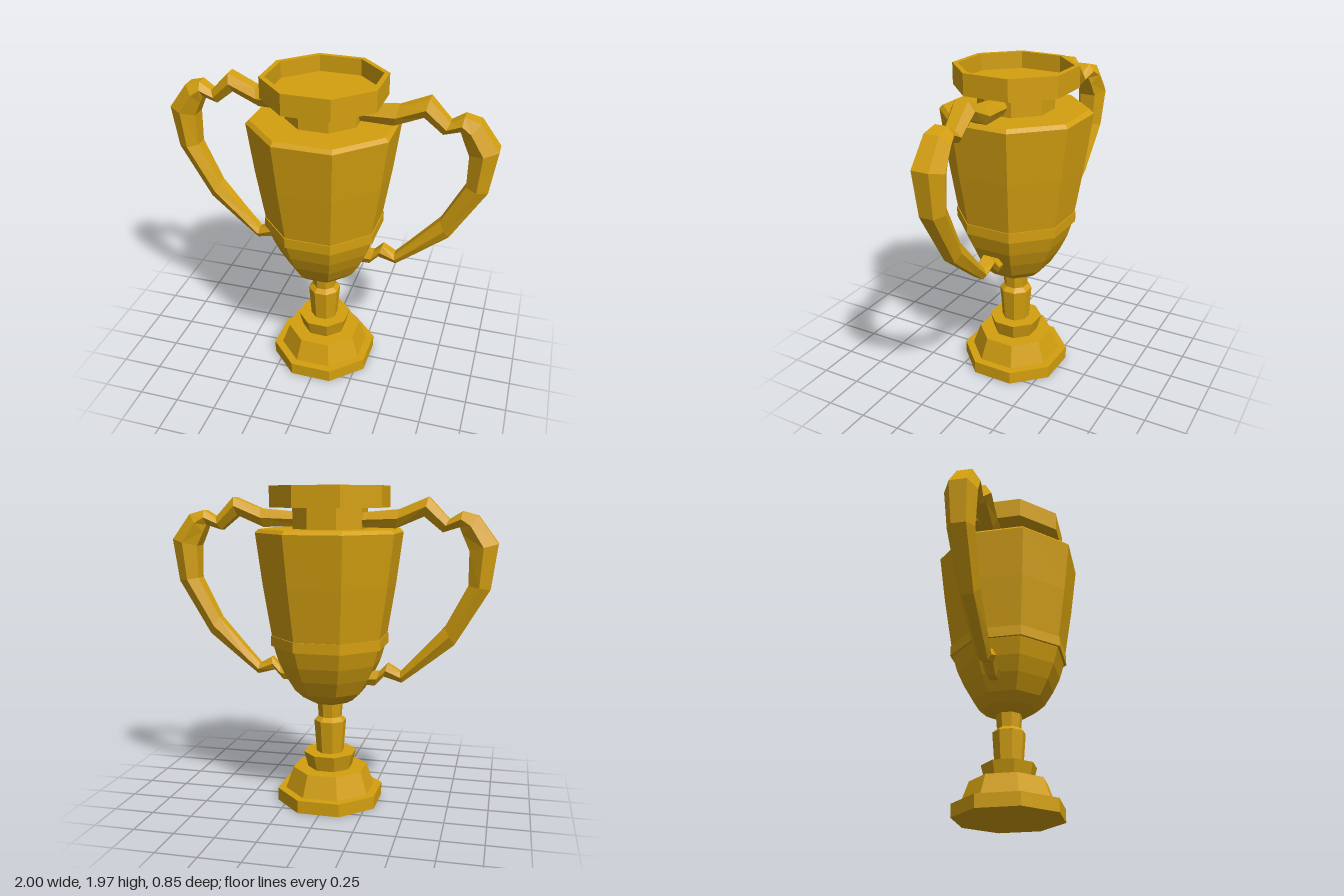
import * as THREE from 'three';

const gold = new THREE.MeshStandardMaterial({ color: 0xd4a010, flatShading: true });
const TURN = Math.PI / 8 - 0.0175; // flats face the axes, with a slight twist

// Octagonal turned part; profile is [half-width across flats, y], bottom to top
function turned(name, profile) {
  const pts = profile.map(([a, y]) => new THREE.Vector2(a / Math.cos(Math.PI / 8), y));
  const mesh = new THREE.Mesh(new THREE.LatheGeometry(pts, 8, TURN), gold);
  mesh.name = name;
  return mesh;
}

// Handle cross-sections: outer x, outer y, inner x, inner y, half-width in z
const RINGS = [
  [0.15, 1.805, 0.15, 1.725, 0.05],
  [0.43, 1.83, 0.41, 1.72, 0.062],
  [0.6, 1.9, 0.575, 1.79, 0.072],
  [0.72, 1.775, 0.685, 1.7, 0.058],
  [0.795, 1.82, 0.78, 1.73, 0.07],
  [0.885, 1.795, 0.8, 1.685, 0.085],
  [1.0, 1.64, 0.84, 1.6, 0.097],
  [0.965, 1.38, 0.84, 1.4, 0.08],
  [0.77, 1.05, 0.71, 1.15, 0.062],
  [0.555, 0.875, 0.525, 0.945, 0.05],
  [0.46, 0.8, 0.45, 0.865, 0.045],
  [0.35, 0.83, 0.372, 0.91, 0.045],
  [0.295, 0.77, 0.32, 0.855, 0.045],
  [0.2, 0.77, 0.2, 0.85, 0.045],
];

// Hexagonal scrolled handle; zAt gives the sideways drift along x
function handle(name, side, zAt) {
  const pos = [], idx = [];
  for (const [ox, oy, ix, iy, w] of RINGS) {
    const cx = (ox + ix) / 2, cy = (oy + iy) / 2, z = zAt(cx), h = w * 0.53;
    const hex = [[ox, oy, h], [cx, cy, w], [ix, iy, h], [ix, iy, -h], [cx, cy, -w], [ox, oy, -h]];
    for (const [x, y, dz] of hex) pos.push(side * x, y, z + dz);
  }
  for (let i = 0; i < RINGS.length - 1; i++) {
    for (let j = 0; j < 6; j++) {
      const a = i * 6 + j, b = i * 6 + (j + 1) % 6, c = b + 6, d = a + 6;
      if (side > 0) idx.push(a, b, c, a, c, d);
      else idx.push(a, c, b, a, d, c);
    }
  }
  const geo = new THREE.BufferGeometry();
  geo.setAttribute('position', new THREE.Float32BufferAttribute(pos, 3));
  geo.setIndex(idx);
  geo.computeVertexNormals();
  const mesh = new THREE.Mesh(geo, gold);
  mesh.name = name;
  return mesh;
}

export function createModel() {
  const cup = new THREE.Group();
  cup.name = 'trophyCup';
  cup.add(
    // Stepped foot
    turned('basePlate', [[0, 0], [0.31, 0], [0.31, 0.08], [0, 0.08]]),
    turned('baseTier', [[0.262, 0.08], [0.217, 0.215], [0, 0.215]]),
    turned('stemCollar', [[0.13, 0.215], [0.155, 0.315], [0, 0.315]]),
    // Stem
    turned('stem', [[0.08, 0.315], [0.094, 0.52], [0.068, 0.545], [0.075, 0.64]]),
    // Bowl, band and shoulder
    turned('bowl', [
      [0, 0.632], [0.075, 0.632], [0.115, 0.644], [0.155, 0.667], [0.205, 0.715], [0.258, 0.81],
      [0.297, 0.9], [0.325, 1.0], [0.335, 1.07], [0.382, 1.38], [0.42, 1.69], [0.4, 1.712], [0, 1.712],
    ]),
    turned('bowlBand', [[0.31, 1.002], [0.34, 1.002], [0.34, 1.065], [0.31, 1.065]]),
    // Neck and recessed lip
    turned('neck', [[0.212, 1.71], [0.212, 1.84]]),
    turned('lip', [[0, 1.838], [0.34, 1.838], [0.34, 1.965], [0.31, 1.965], [0.31, 1.865], [0, 1.865]]),
    // Handles
    handle('leftHandle', 1, () => -0.008),
    handle('rightHandle', -1, (x) => -0.022 - 0.08 * x),
  );
  return cup;
}
